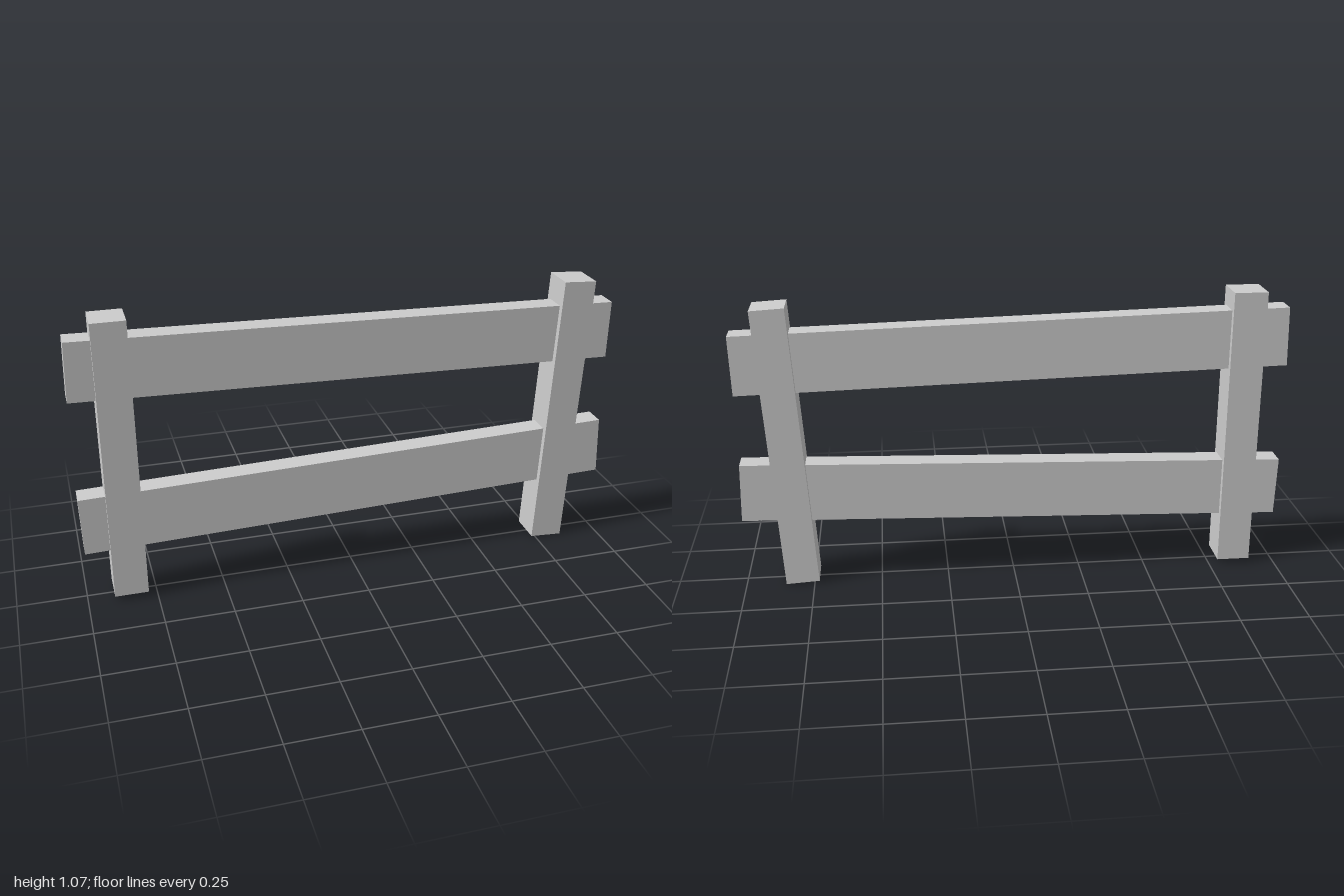
import * as THREE from 'three';

const material = new THREE.MeshStandardMaterial({ color: 0xcccccc, flatShading: true });

// A straight timber centred at (x, y), leaning by angle about z
function timber(name, size, x, y, angle) {
  const mesh = new THREE.Mesh(new THREE.BoxGeometry(...size), material);
  mesh.name = name;
  mesh.position.set(x, y, 0);
  mesh.rotation.z = angle;
  return mesh;
}

export function createModel() {
  const fence = new THREE.Group();
  fence.name = 'fence';

  // Posts: one upright, one leaning outwards
  const post = [0.122, 1.048, 0.126];
  fence.add(timber('rightPost', post, -0.843, 0.545, 0));
  fence.add(timber('leftPost', post, 0.824, 0.53, -0.059));

  // Rails: pass through both posts and converge towards the leaning one
  const rail = [1.994, 0.217, 0.082];
  fence.add(timber('upperRail', rail, 0, 0.872, -0.025));
  fence.add(timber('lowerRail', rail, 0, 0.338, 0.029));

  return fence;
}
